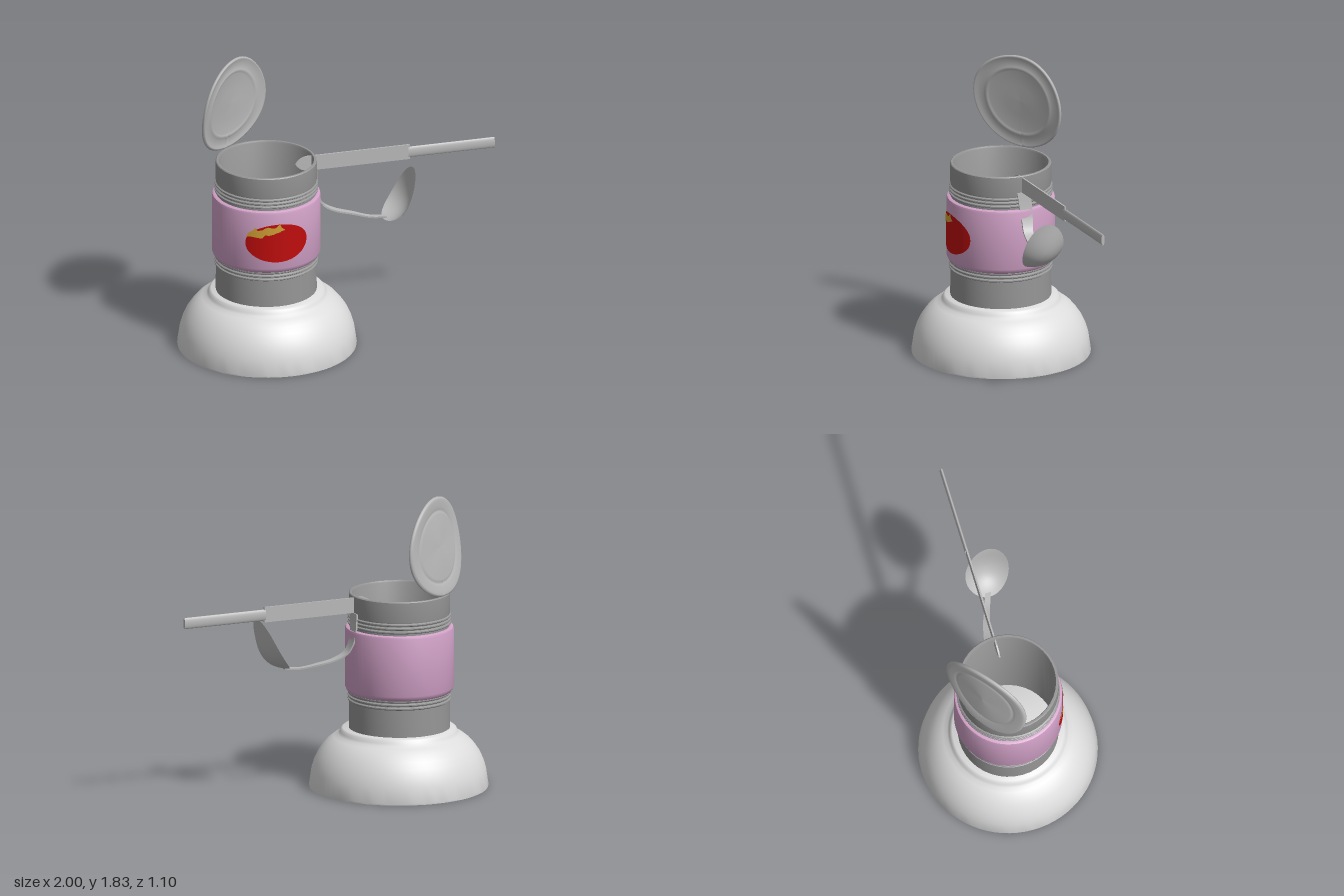
import * as THREE from 'three';
import { toCreasedNormals } from 'three/addons/utils/BufferGeometryUtils.js';

const CX = -0.455; // shared axis of bowl, can and label

const mat = (name, color, side = THREE.FrontSide) => {
  const m = new THREE.MeshStandardMaterial({ color, side });
  m.name = name;
  return m;
};

const mesh = (name, geometry, material) => {
  const m = new THREE.Mesh(geometry, material);
  m.name = name;
  return m;
};

const lathe = (pts, segments) =>
  new THREE.LatheGeometry(pts.map(([r, y]) => new THREE.Vector2(r, y)), segments);

// Move every vertex of a geometry by a rule
function warp(geometry, rule) {
  const p = geometry.attributes.position;
  const v = new THREE.Vector3();
  for (let i = 0; i < p.count; i++) {
    v.fromBufferAttribute(p, i);
    rule(v);
    p.setXYZ(i, v.x, v.y, v.z);
  }
  geometry.computeVertexNormals();
  return geometry;
}

// Thin decal wrapped on the front of a cylinder; columns are [x, bottom, top]
function decal(columns, radius) {
  const pos = [], index = [];
  columns.forEach(([x, bottom, top], i) => {
    const z = Math.sqrt(radius * radius - (x - CX) ** 2);
    pos.push(x, bottom, z, x, top, z);
    if (i) {
      const a = 2 * i - 2;
      index.push(a, a + 2, a + 1, a + 2, a + 3, a + 1);
    }
  });
  const g = new THREE.BufferGeometry();
  g.setAttribute('position', new THREE.Float32BufferAttribute(pos, 3));
  g.setIndex(index);
  g.computeVertexNormals();
  return g;
}

export function createModel() {
  const root = new THREE.Group();
  root.name = 'cannedTomatoStack';

  const porcelain = mat('porcelain', 0xdcdcdc);
  const tin = mat('tin', 0x969696);
  const pink = mat('pinkPaper', 0xd2a2c8);
  const red = mat('tomatoRed', 0xc00c0c, THREE.DoubleSide);
  const gold = mat('leafGold', 0xd2a235, THREE.DoubleSide);
  const steel = mat('steel', 0xbababa, THREE.DoubleSide);

  // Upside-down bowl, hollow underneath
  const bowl = mesh('bowl', toCreasedNormals(lathe([
    [0, 0.33], [0.32, 0.325], [0.37, 0.305], [0.425, 0.265], [0.475, 0.2], [0.512, 0.11],
    [0.528, 0.005], [0.535, 0], [0.548, 0], [0.55, 0.01], [0.535, 0.11], [0.52, 0.16],
    [0.497, 0.21], [0.47, 0.25], [0.44, 0.285], [0.4, 0.316], [0.372, 0.33], [0.36, 0.345],
    [0.354, 0.362], [0.342, 0.37], [0, 0.37],
  ], 72), 0.7), porcelain);
  bowl.position.x = -0.45;
  root.add(bowl);

  // Open can with two bands of ridges
  const profile = [[0.31, 0.37]];
  for (const start of [0.54, 1.02]) {
    for (let i = 0; i < 3; i++) {
      const y = start + i * 0.023;
      profile.push([0.308, y], [0.317, y + 0.006], [0.317, y + 0.013], [0.308, y + 0.019]);
    }
  }
  profile.push([0.31, 1.095], [0.31, 1.215], [0.305, 1.22], [0.293, 1.22], [0.288, 1.21], [0.288, 0.372]);
  const can = mesh('can', toCreasedNormals(lathe(profile, 40), 0.6), tin);
  can.position.x = CX;
  root.add(can);

  // Paper sleeve with rounded ends
  const label = mesh('label', toCreasedNormals(lathe([
    [0.305, 0.595], [0.316, 0.6], [0.326, 0.612], [0.333, 0.63],
    [0.333, 0.99], [0.329, 1.003], [0.32, 1.008], [0.305, 1.008],
  ], 64), 0.6), pink);
  label.position.x = CX;
  root.add(label);

  // Tomato picture and its leaf
  const tomato = [];
  for (let i = 0; i <= 32; i++) {
    const c = -Math.cos((i / 32) * Math.PI);
    const h = 0.125 * Math.pow(Math.max(0, 1 - c * c), 0.46);
    tomato.push([-0.474 + 0.191 * c, 0.8 - h, 0.8 + h]);
  }
  root.add(mesh('tomato', decal(tomato, 0.336), red));
  root.add(mesh('tomatoLeaf', decal([
    [-0.66, 0.84, 0.85], [-0.645, 0.845, 0.875], [-0.63, 0.845, 0.885], [-0.612, 0.842, 0.905],
    [-0.6, 0.84, 0.888], [-0.575, 0.837, 0.89], [-0.555, 0.86, 0.905], [-0.535, 0.855, 0.91],
    [-0.51, 0.86, 0.902], [-0.49, 0.868, 0.905], [-0.465, 0.875, 0.928], [-0.455, 0.882, 0.905],
    [-0.435, 0.886, 0.89],
  ], 0.339), gold));

  // Bent lid standing on the rim
  const lidGeo = lathe([
    [0, -0.006], [0.2, -0.006], [0.212, 0.002], [0.228, 0.002], [0.24, -0.006], [0.275, -0.006],
    [0.29, -0.01], [0.302, -0.006], [0.306, 0.002], [0.302, 0.011], [0.292, 0.014], [0.28, 0.006],
    [0.24, 0.006], [0.228, 0.014], [0.212, 0.014], [0.2, 0.006], [0.1, 0.006], [0, 0.006],
  ], 64);
  warp(lidGeo, (v) => {
    const a = v.x / 0.305, b = -v.z / 0.305;
    v.y += -0.035 + 0.035 * b + 0.035 * a * a - 0.02 * a * b;
    v.x += 0.02 * a * b * b * (a < 0 ? 1 : -0.5);
    v.z += 0.02 * a * (1 - b * b);
  });
  lidGeo.applyMatrix4(new THREE.Matrix4().makeBasis(
    new THREE.Vector3(0.81, 0, -0.586),
    new THREE.Vector3(0.586, 0, 0.81),
    new THREE.Vector3(0, -1, 0),
  ));
  lidGeo.computeVertexNormals();
  const lid = mesh('lid', lidGeo, steel);
  lid.position.set(-0.605, 1.527, -0.185);
  root.add(lid);

  // Knife pushed through the can wall
  const knife = new THREE.Group();
  knife.name = 'knife';
  const edge = new THREE.Shape();
  edge.moveTo(0.46, 1.115);
  edge.lineTo(0.46, 1.211);
  edge.lineTo(-0.2, 1.211);
  edge.quadraticCurveTo(-0.25, 1.2, -0.27, 1.165);
  edge.quadraticCurveTo(-0.24, 1.115, -0.18, 1.115);
  const bladeGeo = new THREE.ExtrudeGeometry(edge, { depth: 0.01, bevelEnabled: false });
  bladeGeo.translate(0, 0, -0.005);
  knife.add(mesh('blade', bladeGeo, steel));
  const handleGeo = new THREE.CylinderGeometry(1, 1, 0.55, 20);
  handleGeo.rotateZ(Math.PI / 2);
  handleGeo.scale(1, 0.035, 0.011);
  handleGeo.translate(0.725, 1.161, 0);
  knife.add(mesh('knifeHandle', handleGeo, steel));
  root.add(knife);

  // Spoon hanging beside the can
  const spoon = new THREE.Group();
  spoon.name = 'spoon';
  const path = new THREE.CatmullRomCurve3([
    [-0.145, 1.115, -0.008], [-0.135, 1.0, -0.018], [-0.123, 0.94, -0.02], [-0.09, 0.875, -0.012],
    [-0.02, 0.835, 0], [0.09, 0.808, 0.022], [0.19, 0.787, 0.055], [0.285, 0.79, 0.088],
  ].map((p) => new THREE.Vector3(...p)));
  const stem = warp(new THREE.BoxGeometry(1, 0.01, 1, 32, 1, 1), (v) => {
    const u = THREE.MathUtils.clamp(v.x + 0.5, 0, 1);
    const p = path.getPoint(u), t = path.getTangent(u);
    const len = Math.hypot(t.x, t.y);
    const width = 0.092 - 0.055 * Math.min(1, u * 1.2);
    v.set(p.x - (t.y / len) * v.y, p.y + (t.x / len) * v.y, p.z + v.z * width);
  });
  spoon.add(mesh('spoonHandle', toCreasedNormals(stem, 0.7), steel));

  // Spoon scoop: a disc pushed into a hollow that is deepest near the handle
  const scoop = warp(new THREE.RingGeometry(0, 1, 40, 10), (v) => {
    const { x: a, y: b } = v;
    const depth = (0.03 * (1 - a * a) + 0.05 * (1 - a * a - b * b)) * (1 - 0.5 * a);
    const w = b * (1 - 0.1 * a);
    v.set(
      0.355 + 0.095 * a + 0.86 * depth,
      0.945 + 0.16 * a - 0.02 * w - 0.51 * depth,
      0.11 + 0.022 * a + 0.138 * w,
    );
  });
  spoon.add(mesh('spoonScoop', scoop, steel));
  root.add(spoon);

  return root;
}
